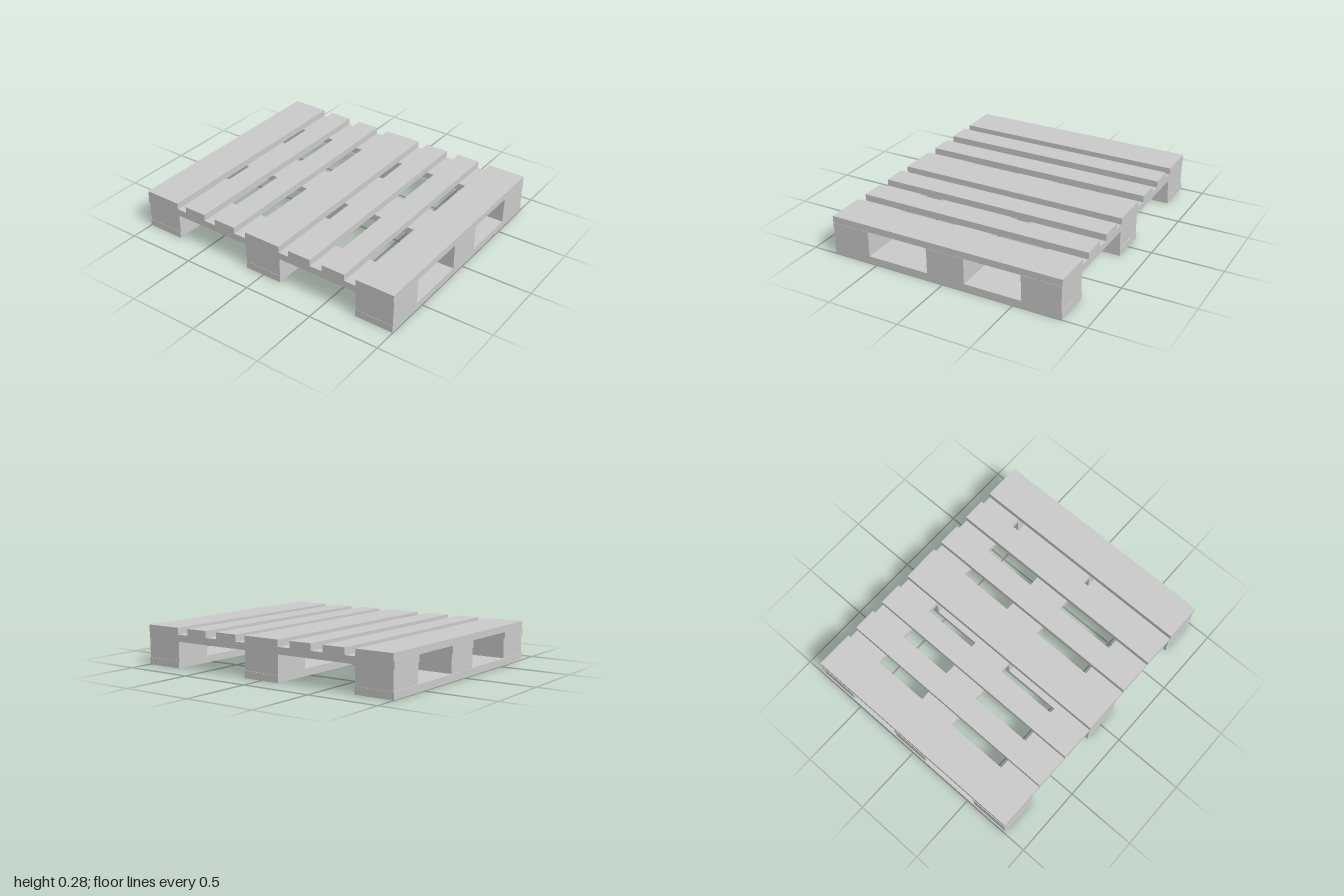
import * as THREE from 'three';

export function createModel() {
  const model = new THREE.Group();
  const material = new THREE.MeshStandardMaterial({ color: 0xcccccc, flatShading: true });

  // Adds a box spanning the given [min, max] ranges.
  function plank(name, [x0, x1], [y0, y1], [z0, z1]) {
    const mesh = new THREE.Mesh(new THREE.BoxGeometry(x1 - x0, y1 - y0, z1 - z0), material);
    mesh.position.set((x0 + x1) / 2, (y0 + y1) / 2, (z0 + z1) / 2);
    mesh.name = name;
    model.add(mesh);
  }

  const fullWidth = [-0.832, 0.832];
  const columns = [[-0.83, -0.558], [-0.115, 0.155], [0.556, 0.828]];
  const rows = [[-0.993, -0.722], [-0.136, 0.138], [0.725, 0.998]];

  // Top deck: three wide boards with pairs of narrow ones between
  const deck = [
    [-0.996, -0.727], [-0.651, -0.486], [-0.396, -0.231], [-0.138, 0.136],
    [0.212, 0.38], [0.473, 0.64], [0.725, 0.998],
  ];
  for (const z of deck) plank('deckBoard', fullWidth, [0.23, 0.277], z);

  // Stringers running front to back under the deck
  for (const x of columns) plank('stringer', x, [0.182, 0.23], [-1, 1]);

  // Nine spacer blocks
  for (const x of columns) for (const z of rows) plank('block', x, [0.05, 0.182], z);

  // Bottom boards
  for (const z of [[-1, -0.724], rows[1], rows[2]]) plank('bottomBoard', fullWidth, [0, 0.05], z);

  return model;
}
